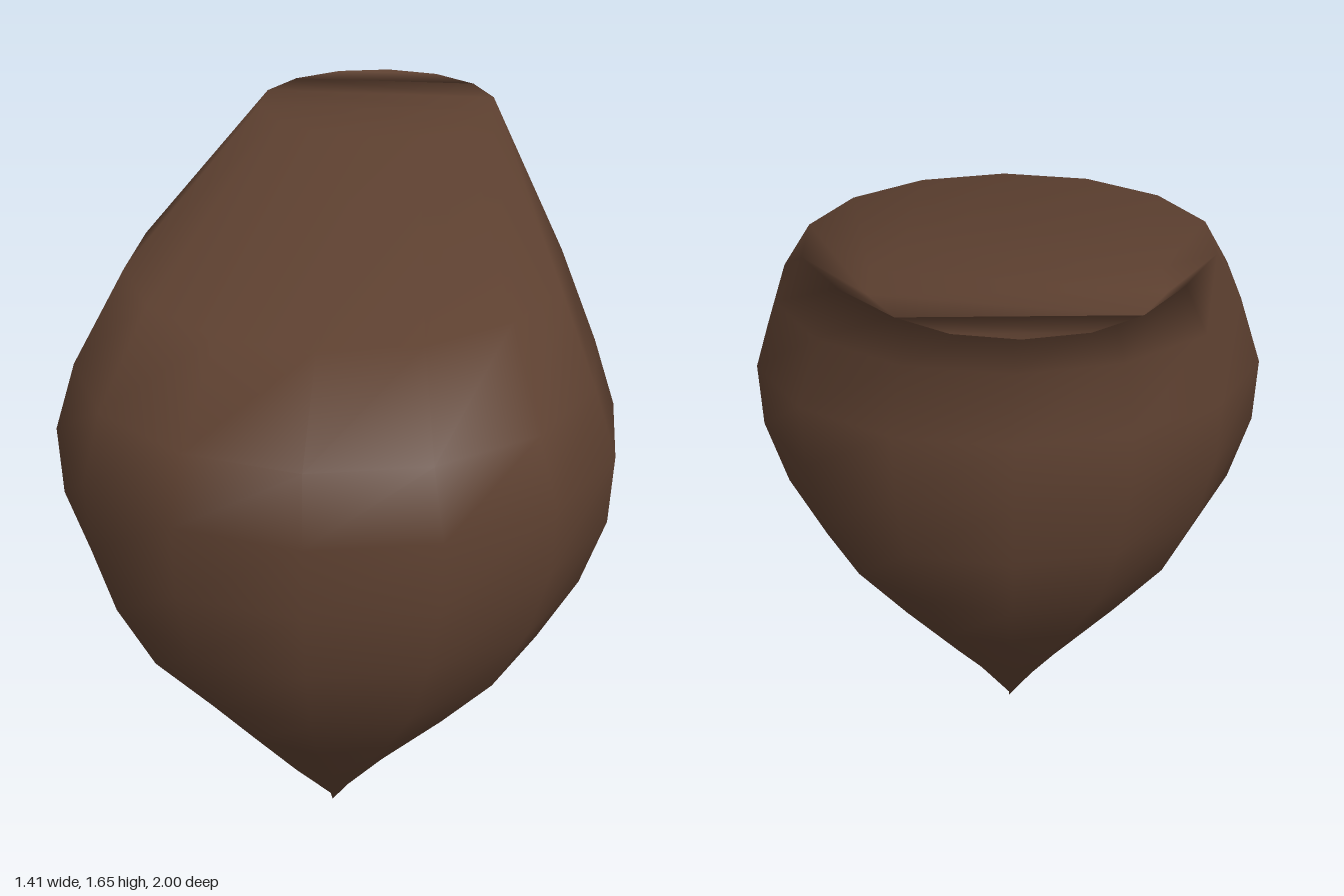
import * as THREE from 'three';

const SIDES = 14;

// Cross-sections from bottom to top: [height, half width, front z, back z]
const SECTIONS = [
  [0, 0, 0.48, 0.13],
  [0.18, 0.195, 0.625, -0.02],
  [0.37, 0.385, 0.77, -0.16],
  [0.55, 0.55, 0.9, -0.29],
  [0.735, 0.652, 0.97, -0.355],
  [0.92, 0.714, 1.0, -0.38],
  [1.1, 0.723, 0.995, -0.388],
  [1.285, 0.662, 0.975, -0.35],
  [1.47, 0.564, 0.73, -0.44],
  [1.652, 0.344, -0.31, -1.0],
];

// Smooth loft through elliptical rings, closed by a flat top
function loft(sections, n) {
  const positions = [];
  const index = [];
  for (const [y, rx, front, back] of sections) {
    for (let j = 0; j < n; j++) {
      const a = (j / n) * Math.PI * 2;
      positions.push(rx * Math.sin(a), y, (front + back) / 2 + ((front - back) / 2) * Math.cos(a));
    }
  }
  for (let i = 0; i < sections.length - 1; i++) {
    for (let j = 0; j < n; j++) {
      const a = i * n + j;
      const b = i * n + ((j + 1) % n);
      index.push(a, b, b + n, a, b + n, a + n);
    }
  }
  // Top cap in rows running side to side
  const top = (sections.length - 1) * n;
  const at = (j) => top + (j % n);
  for (let j = 0; j < n / 2; j++) {
    if (j < n / 2 - 1) index.push(at(j), at(j + 1), at(n - j - 1));
    if (j > 0) index.push(at(j), at(n - j - 1), at(n - j));
  }
  const geometry = new THREE.BufferGeometry();
  geometry.setAttribute('position', new THREE.Float32BufferAttribute(positions, 3));
  geometry.setIndex(index);
  geometry.computeVertexNormals();
  return geometry;
}

export function createModel() {
  const group = new THREE.Group();
  group.name = 'roundedBodyWithSweptTip';

  // Teardrop body with its top swept back into a thin tip
  const body = new THREE.Mesh(
    loft(SECTIONS, SIDES),
    new THREE.MeshStandardMaterial({ color: 0x5d4030 })
  );
  body.name = 'body';
  group.add(body);
  return group;
}
